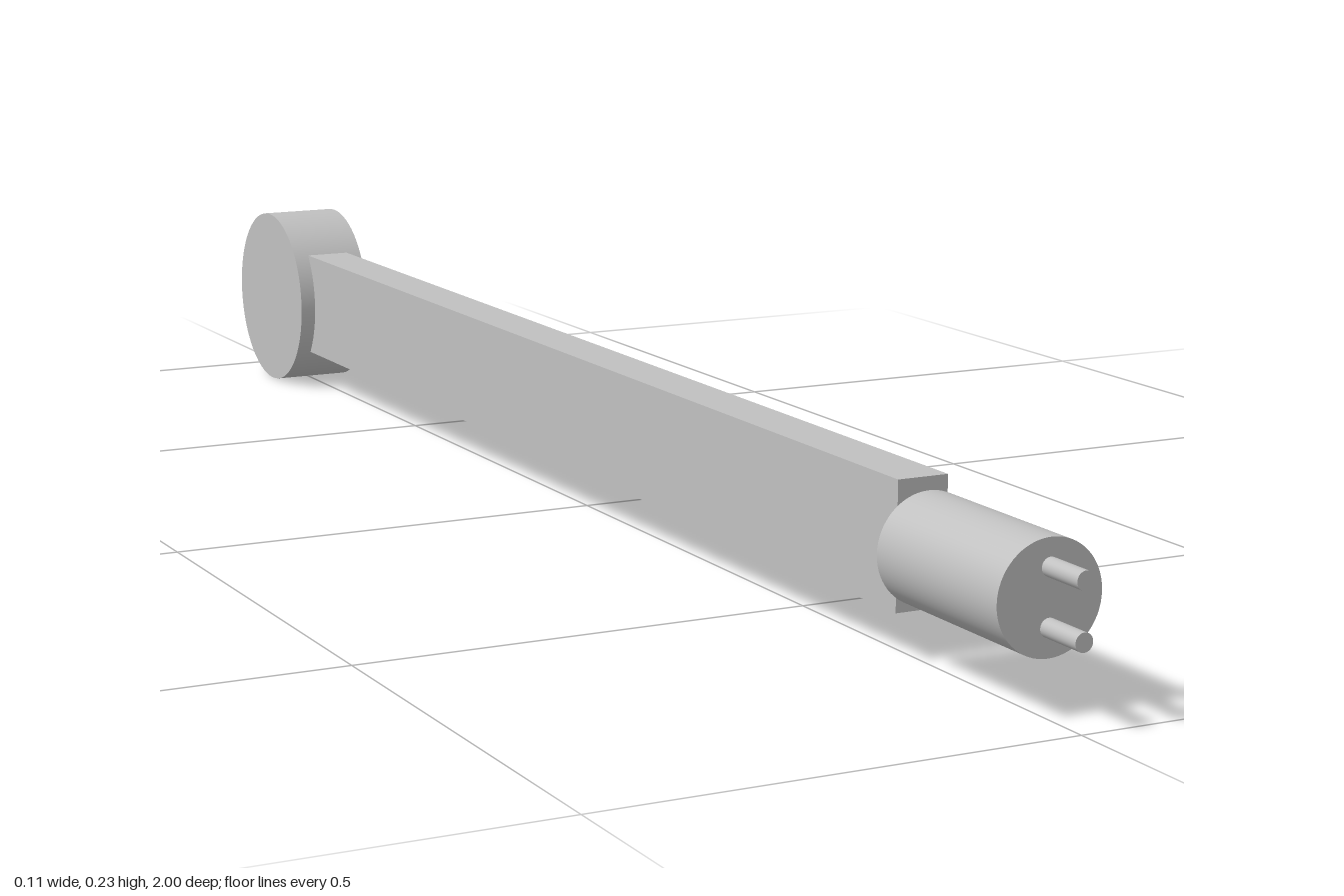
import * as THREE from 'three';

export function createModel() {
  const model = new THREE.Group();
  const grey = new THREE.MeshStandardMaterial({ color: 0xc0c0c0 });
  grey.name = 'light grey';
  const axisY = 0.114;

  function add(name, geometry, x, y, z) {
    const mesh = new THREE.Mesh(geometry, grey);
    mesh.name = name;
    mesh.position.set(x, y, z);
    model.add(mesh);
  }

  // Cylinder lying along z between two depths
  function rod(name, radius, z0, z1, y, sides) {
    const geometry = new THREE.CylinderGeometry(radius, radius, z1 - z0, sides).rotateX(Math.PI / 2);
    add(name, geometry, 0, y, (z0 + z1) / 2);
  }

  // Pivot disc at the back, its axis across the arm
  add('pivotDisc', new THREE.CylinderGeometry(0.114, 0.114, 0.095, 64).rotateZ(Math.PI / 2), 0, axisY, -0.886);

  // Long flat arm, running into the disc
  const armFront = 0.726, armBack = -0.886;
  add('arm', new THREE.BoxGeometry(0.056, 0.132, armFront - armBack), 0, 0.116, (armFront + armBack) / 2);

  // Round head, just clear of the arm
  rod('head', 0.057, 0.737, 0.944, axisY, 64);

  // Two pins, one above the other
  for (const [name, dy] of [['upperPin', 0.029], ['lowerPin', -0.028]]) {
    rod(name, 0.0095, 0.944, 1, axisY + dy, 32);
  }
  return model;
}
